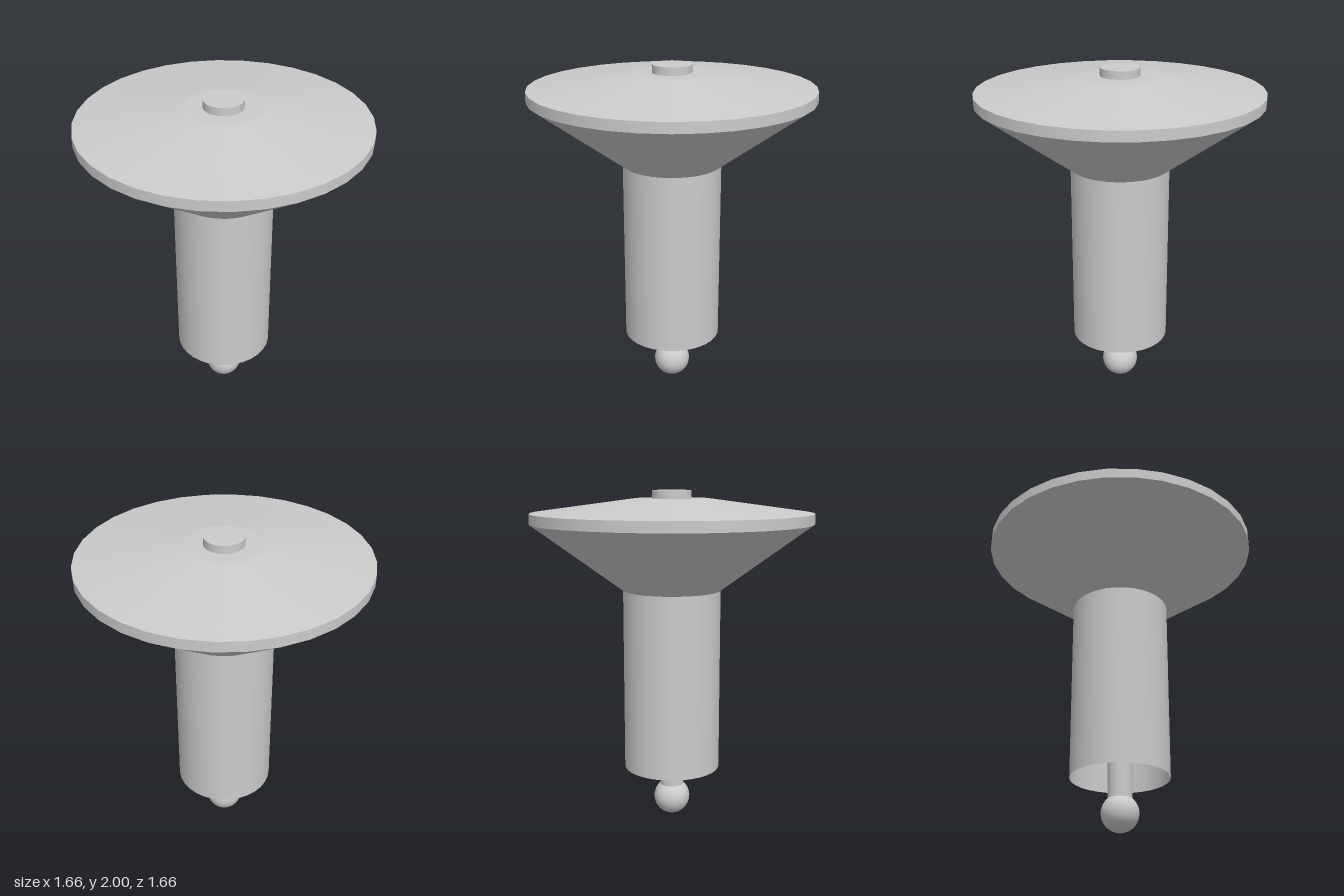
import * as THREE from 'three';

const SIDES = 32;

export function createModel() {
  const group = new THREE.Group();
  const solid = new THREE.MeshStandardMaterial({ color: 0xcccccc });
  const shell = new THREE.MeshStandardMaterial({ color: 0xcccccc, side: THREE.DoubleSide });

  const add = (name, geometry, material, y) => {
    const mesh = new THREE.Mesh(geometry, material);
    mesh.name = name;
    mesh.position.y = y;
    group.add(mesh);
  };

  // Round section between two heights; open sections are thin shells
  const section = (name, y0, r0, y1, r1, open) => add(
    name,
    new THREE.CylinderGeometry(r1, r0, y1 - y0, SIDES, 1, open),
    open ? shell : solid,
    (y0 + y1) / 2
  );

  // Hollow body, open at the bottom
  section('tube', 0.315, 0.292, 1.415, 0.292, true);
  section('flare', 1.415, 0.292, 1.81, 0.832, true);
  section('rim', 1.81, 0.832, 1.87, 0.832, true);
  section('cover', 1.87, 0.832, 1.953, 0.22, true);

  // Flat centre of the cover and the knob on it
  add('coverCentre', new THREE.CircleGeometry(0.22, SIDES).rotateX(-Math.PI / 2).rotateY(Math.PI / 2), shell, 1.953);
  section('knob', 1.94, 0.115, 2, 0.115, false);

  // Rod running up inside the tube, with a ball at its end
  section('rod', 0.15, 0.072, 1.945, 0.072, false);
  add('ball', new THREE.SphereGeometry(0.11, 32, 24), solid, 0.11);

  return group;
}
